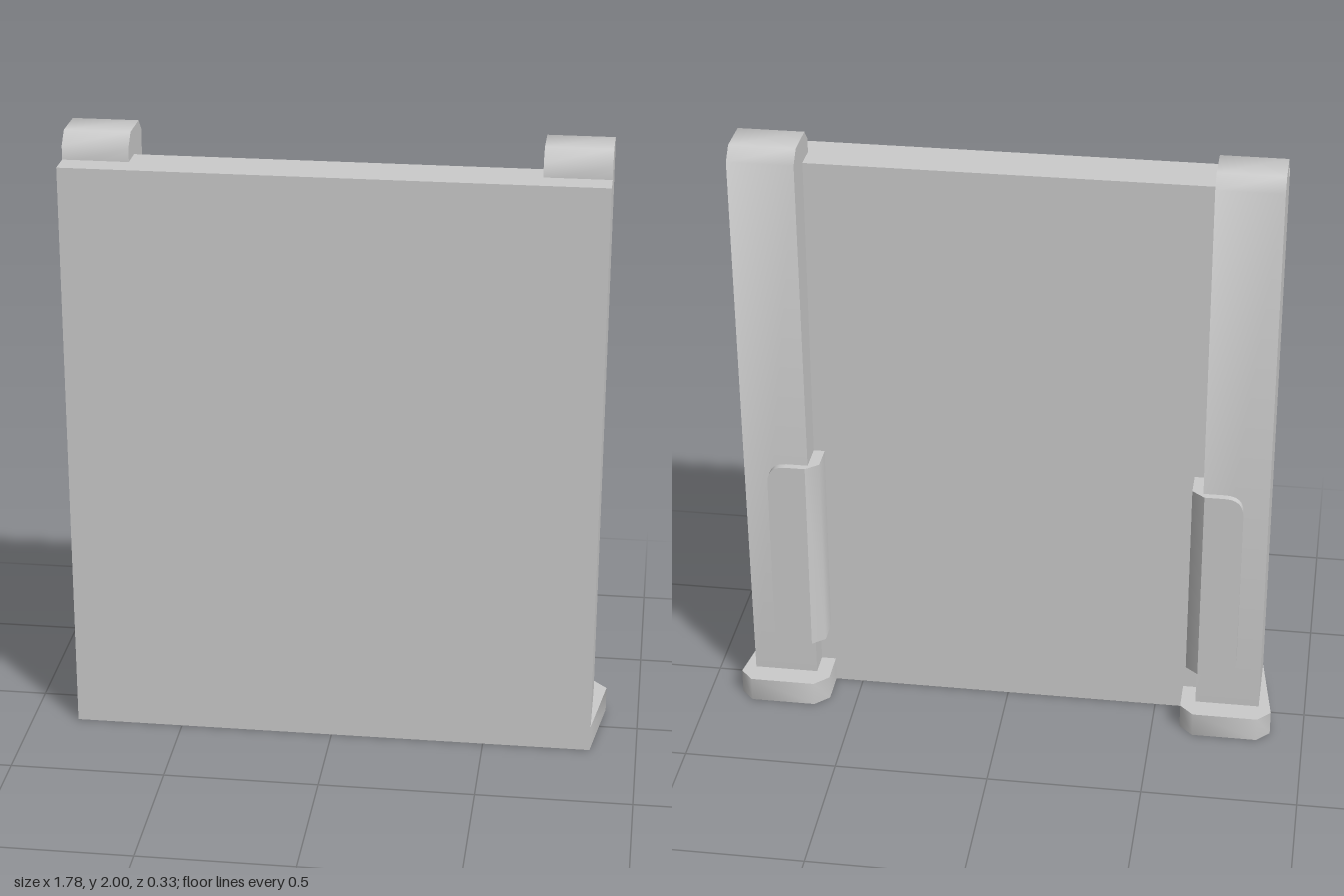
import * as THREE from 'three';
import { toCreasedNormals } from 'three/addons/utils/BufferGeometryUtils.js';

const material = new THREE.MeshStandardMaterial({ color: 0xcccccc });

function part(name, geometry) {
  const mesh = new THREE.Mesh(toCreasedNormals(geometry, 0.9), material);
  mesh.name = name;
  return mesh;
}

const extrude = (shape, depth) =>
  new THREE.ExtrudeGeometry(shape, { depth, bevelEnabled: false, curveSegments: 6 });

// Outline of [x, z] points raised from y0 to y1
function plan(points, y0, y1) {
  const shape = new THREE.Shape(points.map(([x, z]) => new THREE.Vector2(x, -z)));
  return extrude(shape, y1 - y0).rotateX(-Math.PI / 2).translate(0, y0, 0);
}

// Outline of [z, y] points swept from x0 to x1
function profile(points, x0, x1) {
  const shape = new THREE.Shape(points.map(([z, y]) => new THREE.Vector2(-z, y)));
  return extrude(shape, x1 - x0).rotateY(Math.PI / 2).translate(x0, 0, 0);
}

// One post with its foot and corner clip; s is the side, +1 or -1
function createPost(s) {
  const group = new THREE.Group();
  group.name = s > 0 ? 'leftPost' : 'rightPost';
  const flip = (points) => points.map(([x, z]) => [s * x, z]);

  // Tapered upright with a chamfered head that hooks over the panel
  const upright = [
    [0.02, 0], [-0.087, 0], [-0.13, 1.96], [-0.09, 2],
    [0.04, 2], [0.08, 1.96], [0.08, 1.9], [0.02, 1.9],
  ];
  group.add(part('upright', profile(upright, s > 0 ? 0.64 : -0.85, s > 0 ? 0.85 : -0.64)));

  // Flared foot
  const foot = [
    [0.85, 0.162], [0.892, -0.12], [0.85, -0.165],
    [0.637, -0.165], [0.592, -0.12], [0.592, 0.02], [0.8, 0.02],
  ];
  group.add(part('foot', plan(flip(foot), 0, 0.082)));

  // Clip around the inner back corner: chamfered corner strip
  const y0 = 0.22, y1 = 0.895;
  const strip = [[0.645, -0.13], [0.604, -0.095], [0.604, 0], [0.645, 0]];
  group.add(part('clipCorner', plan(flip(strip), y0, y1)));

  // Clip back plate with rounded outer corners
  const r = 0.06, inner = s * 0.645, outer = s * 0.77;
  const plate = new THREE.Shape();
  plate.moveTo(inner, y0);
  plate.lineTo(outer - s * r, y0);
  plate.quadraticCurveTo(outer, y0, outer, y0 + r);
  plate.lineTo(outer, y1 - r);
  plate.quadraticCurveTo(outer, y1, outer - s * r, y1);
  plate.lineTo(inner, y1);
  plate.closePath();
  group.add(part('clipPlate', extrude(plate, 0.08).translate(0, 0, -0.13)));
  return group;
}

export function createModel() {
  const model = new THREE.Group();
  model.name = 'panelWithPosts';

  // Flat front panel
  const panel = new THREE.BoxGeometry(1.7, 1.915, 0.17).translate(0, 0.9575, 0.08);
  model.add(part('panel', panel));

  for (const s of [1, -1]) model.add(createPost(s));
  return model;
}
